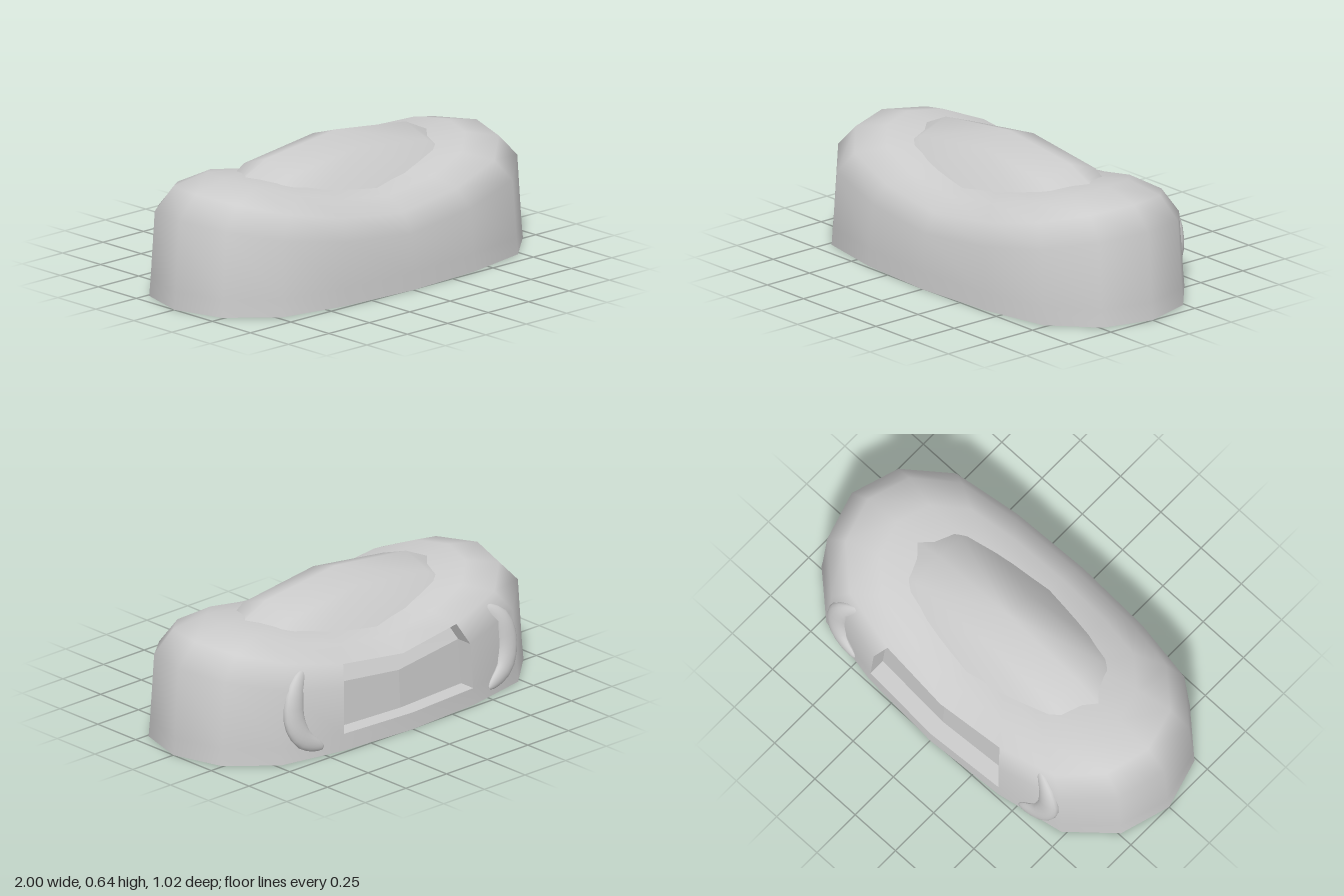
import * as THREE from 'three';

const mat = (flat = false) => new THREE.MeshStandardMaterial({
  color: 0xcccccc, side: THREE.DoubleSide, flatShading: flat,
});

function meshFrom(name, points, index, flat) {
  const g = new THREE.BufferGeometry();
  g.setAttribute('position', new THREE.Float32BufferAttribute(points.flat(), 3));
  g.setIndex(index);
  g.computeVertexNormals();
  const m = new THREE.Mesh(g, mat(flat));
  m.name = name;
  return m;
}

// Quarter of the 16-sided oval footprint, mirrored to a full loop
const quarter = [[1, 0], [0.93, 0.24], [0.73, 0.42], [0.4, 0.485], [0, 0.51]];
const outline = [];
for (let j = 0; j < 16; j++) {
  const q = j % 8, k = q <= 4 ? q : 8 - q;
  const [x, z] = quarter[k];
  outline.push([j > 4 && j < 12 ? -x : x, j > 8 ? -z : z]);
}

// Rings of the shell: scale, height at the middle, extra height at the ends
const rings = [
  [1, 0, 0], [0.992, 0.08, 0], [0.97, 0.26, 0.15],
  [0.87, 0.35, 0.165], [0.69, 0.41, 0.145], [0.42, 0.44, 0.07],
];
const ringPoint = (i, j) => {
  const [s, y, rise] = rings[i], [x, z] = outline[j % 16];
  return [x * s, y + rise * Math.abs(x) ** 1.6, z * s];
};
// The two panels at the back that open into the recess
const isOpening = (i, j) => (i === 1 || i === 2) && (j === 11 || j === 12);

function makeBody() {
  const points = [], index = [];
  rings.forEach((_, i) => outline.forEach((_, j) => points.push(ringPoint(i, j))));
  const centre = points.push([0, 0.45, 0]) - 1;
  for (let i = 0; i < rings.length; i++) {
    for (let j = 0; j < 16; j++) {
      const a = i * 16 + j, b = i * 16 + (j + 1) % 16;
      if (i === rings.length - 1) index.push(a, centre, b);
      else if (!isOpening(i, j)) index.push(a, a + 16, b + 16, a, b + 16, b);
    }
  }
  return meshFrom('body', points, index);
}

function makeRecess() {
  const points = [], index = [], depth = 0.08;
  const quad = (a, b, c, d) => {
    const n = points.length;
    points.push(a, b, c, d);
    index.push(n, n + 1, n + 2, n, n + 2, n + 3);
  };
  const inner = ([x, y, z]) => [x, y, z + depth];
  // Back wall
  for (const i of [1, 2]) for (const j of [11, 12]) {
    quad(...[[i, j], [i + 1, j], [i + 1, j + 1], [i, j + 1]].map(([r, c]) => inner(ringPoint(r, c))));
  }
  // Rim walls
  const rim = [[1, 11], [1, 12], [1, 13], [2, 13], [3, 13], [3, 12], [3, 11], [2, 11]]
    .map(([i, j]) => ringPoint(i, j));
  rim.forEach((p, n) => {
    const q = rim[(n + 1) % rim.length];
    quad(p, inner(p), inner(q), q);
  });
  return meshFrom('backRecess', points, index, true);
}

function makeCushion() {
  // One quarter of the domed sheet, indexed [along x][along z]
  const table = [
    [[0, 0.645, 0], [0, 0.595, 0.15], [0, 0.4, 0.29]],
    [[0.43, 0.595, 0], [0.43, 0.54, 0.15], [0.42, 0.41, 0.26]],
    [[0.7, 0.468, 0], [0.64, 0.41, 0.14], [0.62, 0.31, 0.24]],
  ];
  const points = [], index = [];
  for (let i = -2; i <= 2; i++) for (let k = -2; k <= 2; k++) {
    const [x, y, z] = table[Math.abs(i)][Math.abs(k)];
    points.push([x * Math.sign(i), y, z * Math.sign(k)]);
  }
  for (let i = 0; i < 4; i++) for (let k = 0; k < 4; k++) {
    const a = i * 5 + k, b = a + 1, c = a + 6, d = a + 5;
    // Split each panel symmetrically about the centre
    if ((i < 2) === (k < 2)) index.push(a, b, c, a, c, d);
    else index.push(a, b, d, b, c, d);
  }
  return meshFrom('topCushion', points, index);
}

// Crescent pad: a sphere stretched along a curved path
function makePad(side) {
  const path = new THREE.CatmullRomCurve3([
    [0.54, 0.41, -0.375], [0.63, 0.33, -0.41], [0.655, 0.21, -0.425],
    [0.62, 0.11, -0.445], [0.51, 0.04, -0.465],
  ].map((p) => new THREE.Vector3(...p)));
  const g = new THREE.SphereGeometry(1, 16, 16);
  const pos = g.attributes.position;
  for (let n = 0; n < pos.count; n++) {
    const t = THREE.MathUtils.clamp((1 - pos.getY(n)) / 2, 0, 1);
    const c = path.getPoint(t), d = path.getTangent(t);
    const across = new THREE.Vector3(-d.y, d.x, 0).normalize();
    c.addScaledVector(across, pos.getX(n) * 0.056);
    c.z += pos.getZ(n) * 0.034;
    pos.setXYZ(n, c.x, c.y, c.z);
  }
  g.computeVertexNormals();
  const m = new THREE.Mesh(g, mat());
  m.scale.x = side;
  m.name = side > 0 ? 'leftPad' : 'rightPad';
  return m;
}

export function createModel() {
  const model = new THREE.Group();
  model.name = 'ovalShell';
  model.add(makeBody(), makeRecess(), makeCushion(), makePad(1), makePad(-1));
  return model;
}
